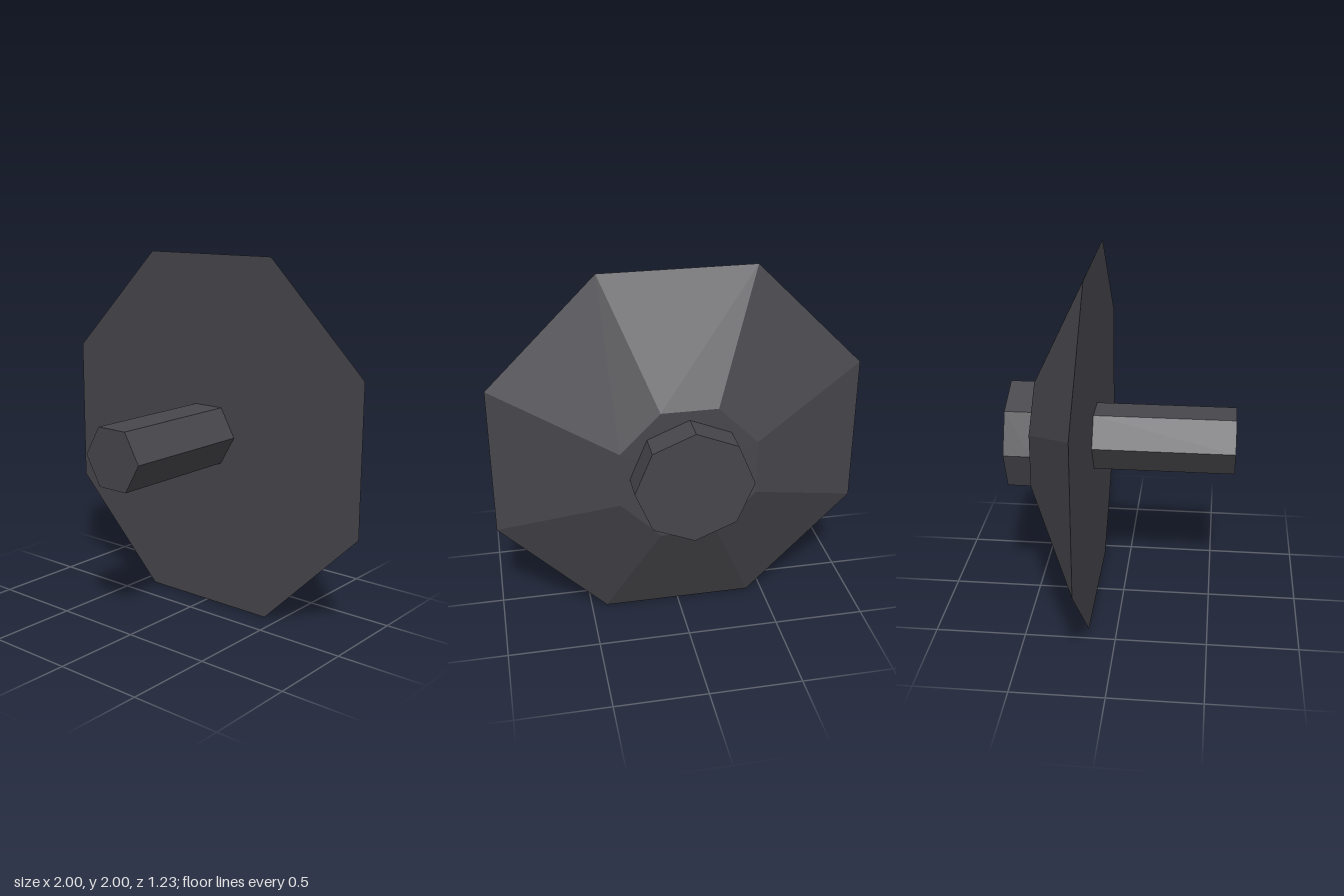
import * as THREE from 'three';

export function createModel() {
  const model = new THREE.Group();
  const charcoal = new THREE.MeshStandardMaterial({ color: 0x47464b, flatShading: true });
  charcoal.name = 'charcoal';

  // Faceted prism or frustum lying along z, between zBack and zFront
  function prism(name, rFront, rBack, sides, zBack, zFront, turn) {
    const geometry = new THREE.CylinderGeometry(rFront, rBack, zFront - zBack, sides, 1, false, turn);
    geometry.rotateX(Math.PI / 2);
    const mesh = new THREE.Mesh(geometry, charcoal);
    mesh.name = name;
    mesh.position.set(0, 1, (zFront + zBack) / 2);
    model.add(mesh);
  }

  const flat = 1 / Math.cos(Math.PI / 8); // octagon corner radius per unit of half width

  // Hexagonal stem pointing forward
  prism('stem', 0.184, 0.184, 6, -0.157, 0.617, Math.PI / 6);
  // Wide octagonal disc tapering to the back
  prism('taperedDisc', flat, 0.36 * flat, 8, -0.463, -0.157, Math.PI / 8);
  // Octagonal knob at the back, corners up
  prism('backKnob', 0.31, 0.31, 8, -0.617, -0.463, 0);

  return model;
}
